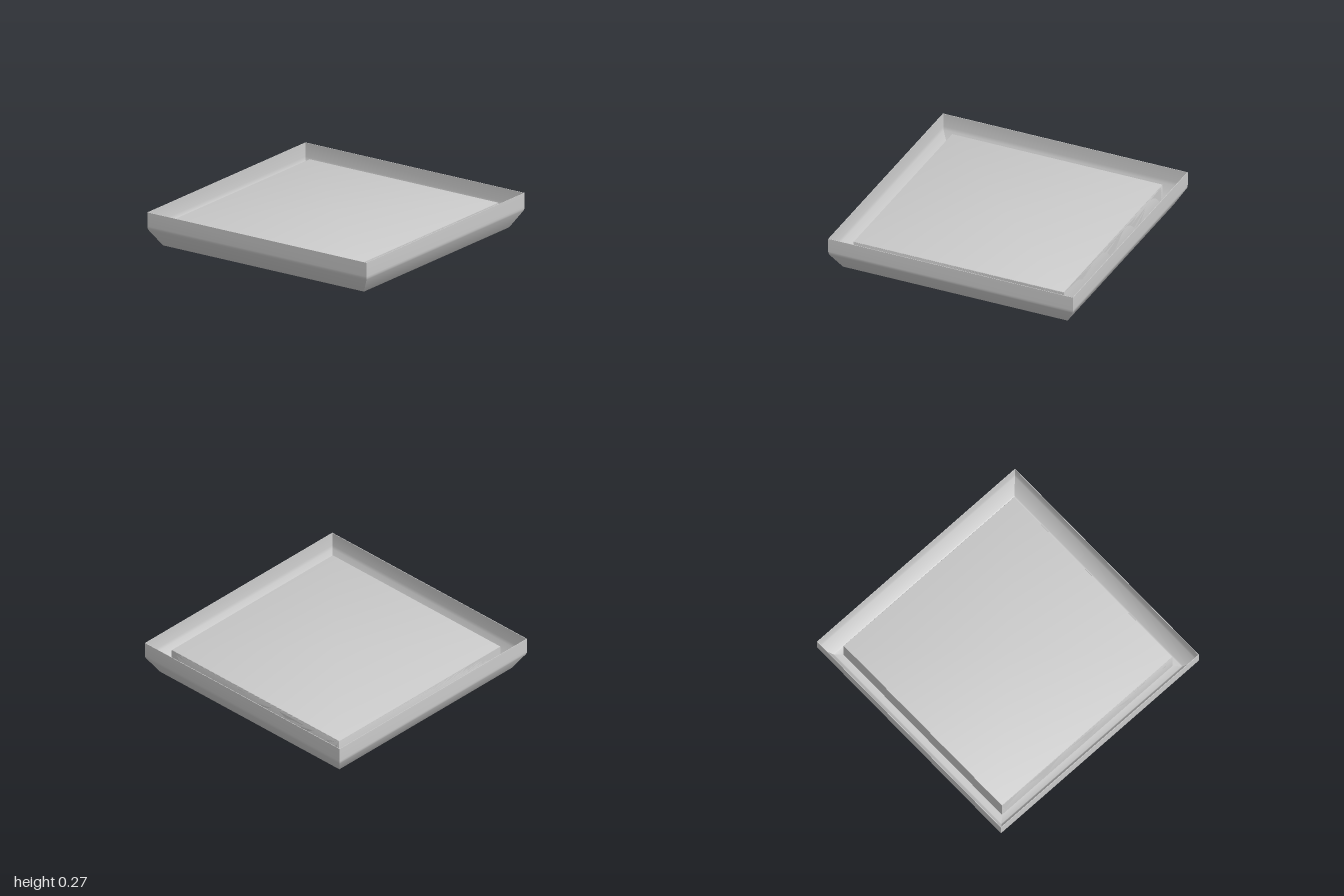
import * as THREE from 'three';
import { toCreasedNormals } from 'three/addons/utils/BufferGeometryUtils.js';

const HALF = 0.86;        // half width of the housing and of the opening below
const BAYS = 4;           // one lamp tube per bay
const BAY = (2 * HALF) / BAYS;
const LOUVRES = 5;

export function createModel() {
  const model = new THREE.Group();
  model.name = 'recessedCeilingLight';
  const material = new THREE.MeshStandardMaterial({ color: 0xcccccc, side: THREE.DoubleSide });

  const add = (parent, name, geometry, x = 0, y = 0, z = 0) => {
    const mesh = new THREE.Mesh(geometry, material);
    mesh.name = name;
    mesh.position.set(x, y, z);
    parent.add(mesh);
  };

  // Sweeps a [half width, height] profile around a square, soft along shallow bends
  const squareSweep = (profile) => {
    const points = profile.map(([w, y]) => new THREE.Vector2(w * Math.SQRT2, y));
    return toCreasedNormals(new THREE.LatheGeometry(points, 4).rotateY(Math.PI / 4), 0.7);
  };

  // Thin outer tray: flat ledge, sloped lower wall, upright upper wall
  add(model, 'trayFrame', squareSweep([
    [HALF, 0], [0.905, 0], [0.914, 0.003], [0.921, 0.011], [0.994, 0.131], [0.999, 0.145], [1, 0.16], [1, 0.268],
    [0.996, 0.268], [0.996, 0.16], [0.99, 0.133], [0.918, 0.013], [0.91, 0.006], [HALF, 0.005],
  ]));

  // Housing box, open underneath
  add(model, 'housing', squareSweep([
    [HALF, 0], [HALF, 0.198], [HALF - 0.002, 0.203], [HALF - 0.007, 0.205], [0, 0.205],
  ]));

  // Reflector: a row of curved troughs along z, meeting in sharp ridges
  const section = new THREE.Shape();
  section.moveTo(-HALF, 0.2);
  section.lineTo(-HALF, 0.005);
  const steps = 14;
  for (let bay = 0; bay < BAYS; bay++) {
    for (let i = 1; i <= steps; i++) {
      const t = (i / steps) * 2 - 1;
      section.lineTo(-HALF + (bay + i / steps) * BAY, 0.005 + 0.175 * (1 - t * t));
    }
  }
  section.lineTo(HALF, 0.2);
  const troughs = new THREE.ExtrudeGeometry(section, { depth: 2 * HALF, bevelEnabled: false });
  add(model, 'reflector', toCreasedNormals(troughs.translate(0, 0, -HALF), 0.5));

  // Lamp tubes along z, with cross louvres below them in each bay
  const tubes = new THREE.Group();
  tubes.name = 'lampTubes';
  const louvres = new THREE.Group();
  louvres.name = 'louvres';
  model.add(tubes, louvres);

  const tubeShape = new THREE.CapsuleGeometry(0.037, 1.62, 6, 20).rotateX(Math.PI / 2);
  const louvreShape = new THREE.BoxGeometry(BAY, 0.062, 0.028);
  for (let bay = 0; bay < BAYS; bay++) {
    const x = -HALF + (bay + 0.5) * BAY;
    add(tubes, 'lampTube', tubeShape, x, 0.108, 0);
    for (let i = 1; i <= LOUVRES; i++) {
      add(louvres, 'louvre', louvreShape, x, 0.04, -HALF + (i * 2 * HALF) / (LOUVRES + 1));
    }
  }

  return model;
}
